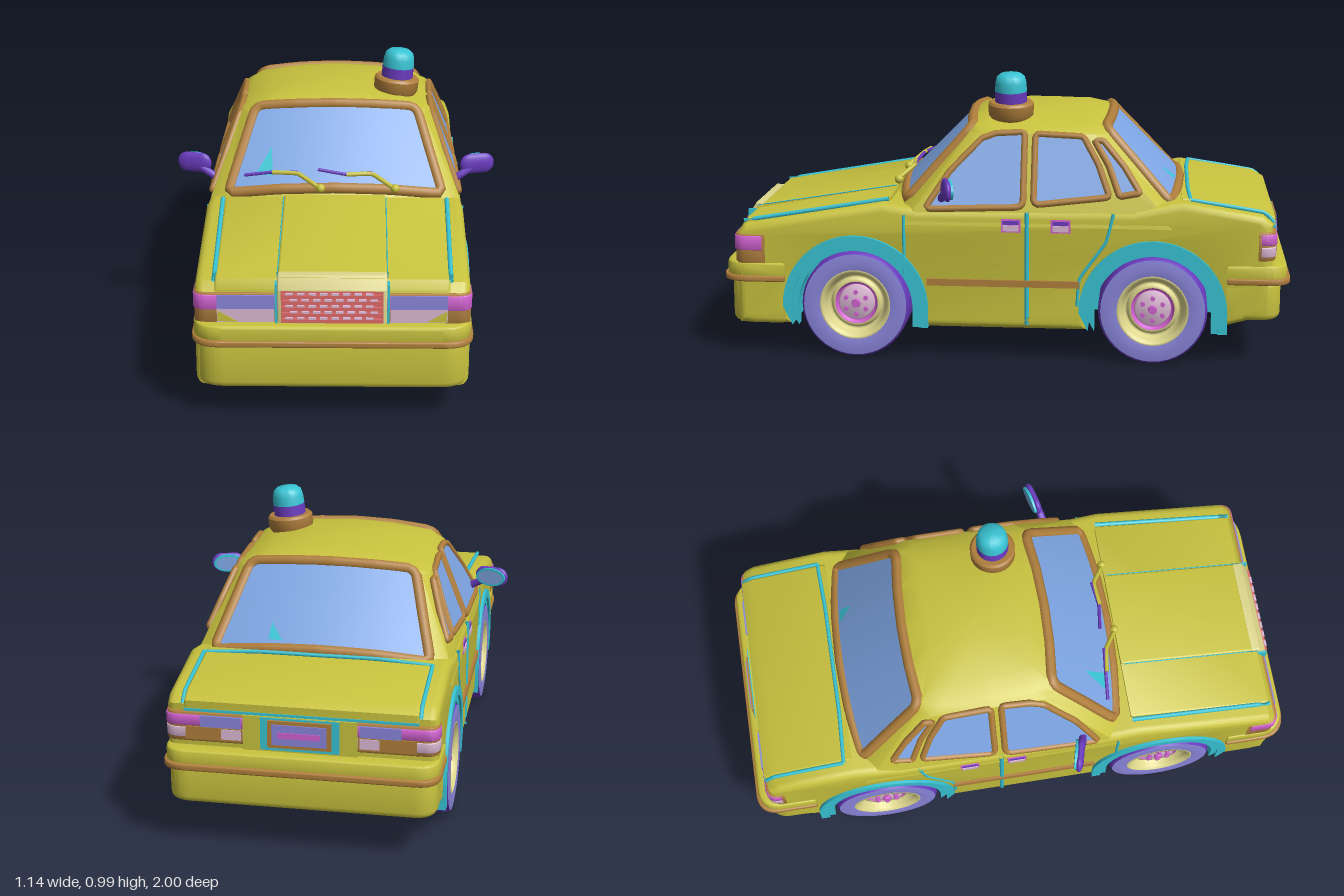
import * as THREE from 'three';
import { toCreasedNormals } from 'three/addons/utils/BufferGeometryUtils.js';

const mat = (name, color, side = THREE.FrontSide) =>
  Object.assign(new THREE.MeshStandardMaterial({ color, side }), { name });

export function createModel() {
  const car = new THREE.Group();
  car.name = 'car';
  const D = THREE.DoubleSide;
  const M = {
    body: mat('body yellow', 0xc8c23e), trim: mat('trim brown', 0xb07f3c),
    cyan: mat('cyan', 0x38c4d4, D), purple: mat('purple', 0x6b3cc0),
    lavender: mat('lavender', 0x8a86dc), glass: mat('glass blue', 0x7ea6e4, D),
    red: mat('red', 0xe06a6a), magenta: mat('magenta', 0xd060d0),
    pink: mat('pale pink', 0xdcb8d4), cream: mat('pale yellow', 0xddd68c),
  };
  const add = (name, geo, m, parent = car) => {
    const mesh = new THREE.Mesh(geo, m);
    mesh.name = name;
    parent.add(mesh);
    return mesh;
  };
  const V = (x, y, z) => new THREE.Vector3(x, y, z);
  const polygon = pts => new THREE.Shape(pts.map(p => new THREE.Vector2(...p)));
  const box = (name, m, x0, x1, y0, y1, z0, z1) => add(name,
    new THREE.BoxGeometry(x1 - x0, y1 - y0, z1 - z0).translate((x0 + x1) / 2, (y0 + y1) / 2, (z0 + z1) / 2), m);
  const bevelled = (shape, depth, b) => new THREE.ExtrudeGeometry(shape, {
    depth: depth - 2 * b, curveSegments: 24, bevelEnabled: b > 0,
    bevelSize: b, bevelThickness: b, bevelOffset: -b, bevelSegments: 4 }).translate(0, 0, b);
  // side profile given as (z, y), extruded from x0 to x1
  const sideExtrude = (name, m, shape, x0, x1, b = 0) => add(name,
    toCreasedNormals(bevelled(shape, x1 - x0, b).rotateY(-Math.PI / 2).translate(x1, 0, 0), 0.6), m);
  // plan outline with two rounded outer corners, extruded from y0 to y1
  const planExtrude = (name, m, zIn, zOut, w, y0, y1, b, r) => {
    const s = new THREE.Shape(), zr = zOut - Math.sign(zOut) * r;
    s.moveTo(-w, -zIn);
    s.lineTo(-w, -zr);
    s.quadraticCurveTo(-w, -zOut, -w + r, -zOut);
    s.lineTo(w - r, -zOut);
    s.quadraticCurveTo(w, -zOut, w, -zr);
    s.lineTo(w, -zIn);
    return add(name, toCreasedNormals(bevelled(s, y1 - y0, b).rotateX(-Math.PI / 2).translate(0, y0, 0), 0.6), m);
  };
  const line = (name, m, pts, r = 0.006, closed = false) => add(name, new THREE.TubeGeometry(
    new THREE.CatmullRomCurve3(pts, closed, 'catmullrom', 0.15), pts.length * 6, r, 8, closed), m);

  // lower body with wheel openings
  const axles = [0.52, -0.525], hub = 0.18;
  const s = new THREE.Shape();
  s.moveTo(-0.935, 0.18);
  s.lineTo(-0.755, 0.13);
  s.absarc(axles[1], hub, 0.23, Math.PI, 0, true);
  s.lineTo(-0.295, 0.11);
  s.lineTo(0.29, 0.11);
  s.absarc(axles[0], hub, 0.23, Math.PI, 0, true);
  s.lineTo(0.75, 0.11);
  for (const p of [[0.94, 0.11], [0.945, 0.43], [0.915, 0.465], [0.42, 0.553], [0.3, 0.535],
    [-0.45, 0.54], [-0.62, 0.575], [-0.9, 0.53], [-0.935, 0.5]]) s.lineTo(...p);
  sideExtrude('lowerBody', M.body, s, -0.447, 0.447, 0.03);
  add('underbody', new THREE.BoxGeometry(0.34, 0.33, 1.6).translate(0, 0.277, 0.05),
    [M.cyan, M.cyan, M.body, M.body, M.body, M.body]);

  // hood, raised hood centre and trunk lid
  sideExtrude('hood', M.body, polygon([[0.945, 0.4], [0.94, 0.445], [0.92, 0.475], [0.4, 0.565], [0.4, 0.45]]), -0.38, 0.38, 0.008);
  sideExtrude('hoodCentre', M.body, polygon([[0.95, 0.4], [0.935, 0.485], [0.4, 0.573], [0.4, 0.45]]), -0.177, 0.177, 0.008);
  sideExtrude('trunkLid', M.body, polygon([[-0.62, 0.45], [-0.62, 0.58], [-0.9, 0.54], [-0.943, 0.515], [-0.943, 0.48]]), -0.385, 0.385, 0.008);
  line('trunkFrontGap', M.cyan, [V(-0.39, 0.573, -0.65), V(-0.2, 0.582, -0.642), V(0, 0.582, -0.642), V(0.2, 0.582, -0.642), V(0.39, 0.573, -0.65)], 0.007);
  box('trunkRearGap', M.cyan, -0.385, 0.385, 0.48, 0.489, -0.946, -0.935);

  // cabin lofted from rings: y, side half width, end half width, front z, back z, droop towards the sides
  const bow = 0.45;
  const levels = [[0.48, 0.45, 0.41, 0.47, -0.7, 0], [0.54, 0.436, 0.39, 0.42, -0.66, 0], [0.79, 0.338, 0.312, 0.17, -0.405, 0],
    [0.838, 0.308, 0.285, 0.122, -0.357, 0.3], [0.852, 0.24, 0.22, 0.06, -0.285, 0.3],
    [0.86, 0.12, 0.1, -0.04, -0.18, 0.3], [0.862, 0, 0, -0.11, -0.11, 0]];
  const pos = [], idx = [], steps = [-1, -0.5, 0, 0.5, 1];
  for (const [y, xs, we, zf, zb, droop] of levels) {
    const off = 0.26 * xs, put = (x, z) => pos.push(x, y - droop * x * x, z);
    const back = x => (bow - droop) * x * x;
    for (const t of steps) put(t * we, zf - back(t * we));
    for (const z of [zf - off, (zf + zb) / 2, zb + off]) put(xs, z);
    for (const t of steps) put(-t * we, zb + back(t * we));
    for (const z of [zb + off, (zf + zb) / 2, zf - off]) put(-xs, z);
  }
  const N = 16;
  for (let l = 0; l < levels.length - 1; l++) for (let i = 0; i < N; i++) {
    const a = l * N + i, b = l * N + (i + 1) % N;
    idx.push(a, b, a + N, b, b + N, a + N);
  }
  const cabin = new THREE.BufferGeometry();
  cabin.setAttribute('position', new THREE.Float32BufferAttribute(pos, 3));
  cabin.setIndex(idx);
  add('cabin', toCreasedNormals(cabin, 0.6), M.body);

  // windscreen and rear window: bowed panes with tubular frames and small glints
  const frontMap = (x, y, o = 0.008) => V(x, y, 0.96 - y - bow * x * x + o);
  const rearMap = (x, y, o = 0.008) => V(x, y, -0.63 + (y - 0.57) * 1.02 + bow * x * x - o);
  const pane = (name, map, yb, yt, wb, wt, glintPts) => {
    const at = (u, v, o) => {
      const x = u * (wb + (wt - wb) * v);
      return map(x, yb + (yt - yb) * v - 0.22 * x * x, o);
    };
    const g = new THREE.PlaneGeometry(2, 1, 12, 6), p = g.attributes.position;
    for (let i = 0; i < p.count; i++) p.setXYZ(i, ...at(p.getX(i), p.getY(i) + 0.5).toArray());
    g.computeVertexNormals();
    add(name, g, M.glass);
    const edge = [];
    for (const u of [-0.95, -0.5, 0, 0.5, 0.95]) edge.push(at(u, 0, 0));
    for (const v of [0.06, 0.5, 0.93]) edge.push(at(1, v, 0));
    for (const u of [0.93, 0.5, 0, -0.5, -0.93]) edge.push(at(u, 1, 0));
    for (const v of [0.93, 0.5, 0.06]) edge.push(at(-1, v, 0));
    line(name + 'Frame', M.trim, edge, 0.02, true);
    const glint = new THREE.BufferGeometry().setFromPoints(glintPts.map(q => map(...q, 0.015)));
    glint.computeVertexNormals();
    add(name + 'Glint', glint, M.cyan);
  };
  pane('windscreen', frontMap, 0.588, 0.825, 0.376, 0.288, [[-0.28, 0.62], [-0.22, 0.62], [-0.225, 0.7]]);
  pane('rearWindow', rearMap, 0.588, 0.825, 0.372, 0.288, [[0.13, 0.61], [0.18, 0.61], [0.175, 0.655]]);

  // wipers: pivot x and height of the blade's far end
  for (const [x, y] of [[-0.05, 0.617], [0.21, 0.645]]) {
    add('wiperPivot', new THREE.SphereGeometry(0.016, 12, 8).translate(x, 0.595, 0.395), M.body);
    line('wiperArm', M.body, [V(x, 0.595, 0.4), frontMap(x - 0.08, 0.633, 0.03), frontMap(x - 0.17, 0.633, 0.03)], 0.008);
    line('wiperBlade', M.purple, [frontMap(x - 0.27, y, 0.025), frontMap(x - 0.17, 0.632, 0.025), frontMap(x - 0.08, 0.636, 0.025)], 0.006);
  }

  // side windows as (z, y) outlines on the sloping cabin side
  const windows = [
    ['frontSideWindow', [[0.27, 0.537], [0.19, 0.66], [0.08, 0.772], [0.03, 0.79], [-0.07, 0.795], [-0.07, 0.548]]],
    ['rearSideWindow', [[-0.108, 0.556], [-0.108, 0.79], [-0.275, 0.783], [-0.33, 0.69], [-0.37, 0.585]]],
    ['quarterWindow', [[-0.405, 0.588], [-0.365, 0.69], [-0.315, 0.77], [-0.345, 0.77], [-0.42, 0.685], [-0.475, 0.6]]]];
  const sideX = y => 0.44 - (y - 0.53) * 0.39;
  for (const k of [1, -1]) {
    for (const [name, pts] of windows) {
      const g = new THREE.ShapeGeometry(polygon(pts)), p = g.attributes.position;
      for (let i = 0; i < p.count; i++) p.setXYZ(i, k * (sideX(p.getY(i)) + 0.006), p.getY(i), p.getX(i));
      g.computeVertexNormals();
      add(name, g, M.glass);
      const edge = [];
      pts.forEach(([z, y], i) => {
        const [z2, y2] = pts[(i + 1) % pts.length];
        for (const t of [0.06, 0.5, 0.94]) {
          const yy = y + (y2 - y) * t;
          edge.push(V(k * (sideX(yy) + 0.003), yy, z + (z2 - z) * t));
        }
      });
      line(name + 'Frame', M.trim, edge, 0.012, true);
    }

    // panel gaps
    line('hoodGap', M.cyan, [V(k * 0.382, 0.472, 0.925), V(k * 0.39, 0.56, 0.405)], 0.008);
    line('trunkGap', M.cyan, [V(k * 0.39, 0.574, -0.65), V(k * 0.39, 0.535, -0.9), V(k * 0.39, 0.5, -0.938)], 0.007);
    line('hoodCrease', M.cyan, [V(k * 0.178, 0.483, 0.925), V(k * 0.178, 0.567, 0.41)], 0.002);
    line('frontDoorGap', M.cyan, [V(k * 0.446, 0.29, 0.345), V(k * 0.446, 0.515, 0.345)], 0.006);
    line('middleDoorGap', M.cyan, [V(k * 0.446, 0.13, -0.086), V(k * 0.446, 0.53, -0.086)], 0.008);
    line('rearDoorGap', M.cyan, [V(k * 0.446, 0.53, -0.385), V(k * 0.446, 0.43, -0.36), V(k * 0.446, 0.3, -0.27), V(k * 0.446, 0.2, -0.262)], 0.006);

    // side trim and door handles
    const sx = (name, m, a, b, ...r) => box(name, m, Math.min(k * a, k * b), Math.max(k * a, k * b), ...r);
    sx('sideTrim', M.trim, 0.44, 0.457, 0.266, 0.29, -0.27, 0.265);
    for (const z of [-0.03, -0.203]) {
      sx('handleRecess', M.magenta, 0.44, 0.45, 0.46, 0.507, z - 0.034, z + 0.034);
      sx('doorHandle', M.pink, 0.44, 0.456, 0.466, 0.486, z - 0.028, z + 0.028);
      sx('handleTop', M.purple, 0.44, 0.453, 0.488, 0.501, z - 0.028, z + 0.028);
    }

    // headlamps with a small corner facet, and inner tail lamps
    sx('headlampUpper', M.lavender, 0.187, 0.372, 0.384, 0.43, 0.9, 0.956);
    sx('headlampLower', M.pink, 0.187, 0.372, 0.338, 0.384, 0.9, 0.956);
    const facet = polygon([[k * 0.305, 0.341], [k * 0.37, 0.341], [k * 0.37, 0.378]]);
    add('headlampFacet', new THREE.ExtrudeGeometry(facet, { depth: 0.004, bevelEnabled: false }).translate(0, 0, 0.954), M.body);
    sx('tailLampInner', M.lavender, 0.195, 0.33, 0.43, 0.468, -0.954, -0.895);
    sx('tailLampReverse', M.pink, 0.195, 0.26, 0.39, 0.425, -0.954, -0.895);

    // mirrors
    const mirror = new THREE.Group();
    mirror.name = 'mirror';
    mirror.position.set(k * 0.507, 0.619, 0.187);
    mirror.rotation.y = k * 0.25;
    add('mirrorShell', new THREE.CapsuleGeometry(0.037, 0.052, 8, 20).rotateZ(Math.PI / 2).scale(1, 1, 0.42), M.purple, mirror);
    add('mirrorRim', new THREE.CylinderGeometry(1, 1, 0.01, 24).rotateX(Math.PI / 2).scale(0.056, 0.034, 1).translate(0, 0, -0.013), M.cyan, mirror);
    add('mirrorGlass', new THREE.CircleGeometry(1, 24).rotateY(Math.PI).scale(0.047, 0.027, 1).translate(0, 0, -0.0195), M.glass, mirror);
    car.add(mirror);
    line('mirrorArm', M.purple, [V(k * 0.42, 0.567, 0.215), V(k * 0.45, 0.585, 0.208), V(k * 0.485, 0.605, 0.195)], 0.014);
  }

  // lamp bands wrapping round the corners, split by body panels in the middle
  planExtrude('headlampFrame', M.trim, 0.84, 0.95, 0.449, 0.328, 0.436, 0.004, 0.045);
  planExtrude('indicators', M.magenta, 0.85, 0.953, 0.452, 0.378, 0.43, 0.004, 0.045);
  planExtrude('tailLampFrame', M.trim, -0.885, -0.946, 0.45, 0.375, 0.477, 0.004, 0.045);
  planExtrude('tailLampUpper', M.magenta, -0.895, -0.95, 0.453, 0.43, 0.468, 0.004, 0.045);
  planExtrude('tailLampLower', M.pink, -0.895, -0.948, 0.452, 0.388, 0.424, 0.004, 0.045);
  for (const k of [1, -1]) box('tailLampPanel', M.trim, k * 0.285 - 0.095, k * 0.285 + 0.095, 0.384, 0.428, -0.951, -0.9);
  box('rearPanel', M.body, -0.188, 0.188, 0.36, 0.48, -0.952, -0.9);

  // bumpers and their trim bands
  planExtrude('frontBumper', M.body, 0.77, 0.975, 0.447, 0.11, 0.275, 0.022, 0.1);
  planExtrude('frontBumperTop', M.body, 0.77, 0.99, 0.453, 0.275, 0.335, 0.012, 0.1);
  planExtrude('frontBumperTrim', M.trim, 0.77, 1, 0.459, 0.266, 0.287, 0.005, 0.1);
  planExtrude('rearBumper', M.body, -0.78, -0.968, 0.447, 0.16, 0.3, 0.022, 0.08);
  planExtrude('rearBumperTop', M.body, -0.78, -0.988, 0.453, 0.3, 0.357, 0.012, 0.08);
  planExtrude('rearBumperTrim', M.trim, -0.78, -1, 0.459, 0.29, 0.312, 0.005, 0.08);

  // grille
  sideExtrude('grilleSurround', M.cream, polygon([[0.9, 0.335], [0.957, 0.335], [0.957, 0.45], [0.93, 0.492], [0.9, 0.492]]), -0.177, 0.177, 0.006);
  for (const x of [-0.185, 0.177]) box('grilleEdge', M.cyan, x, x + 0.008, 0.335, 0.47, 0.9, 0.958);
  box('grilleBack', M.red, -0.165, 0.165, 0.337, 0.447, 0.93, 0.96);
  for (let i = 0; i < 5; i++) {
    const y = 0.342 + i * 0.021;
    box('grilleBar', M.red, -0.162, 0.162, y, y + 0.012, 0.955, 0.968);
    for (let j = 0; j < 8; j++) {
      const x = -0.15 + j * 0.037 + (i % 2) * 0.014;
      box('grilleLink', M.pink, x, x + 0.024, y + 0.011, y + 0.017, 0.955, 0.969);
    }
  }

  // blank rear plate
  box('plateSurround', M.cyan, -0.13, 0.13, 0.366, 0.478, -0.956, -0.93);
  box('plateFrame', M.trim, -0.105, 0.105, 0.378, 0.472, -0.964, -0.93);
  box('plate', M.lavender, -0.09, 0.09, 0.39, 0.46, -0.968, -0.93);
  box('plateStripe', M.magenta, -0.07, 0.07, 0.415, 0.435, -0.971, -0.93);

  // wheels and arches
  const wheelParts = [
    ['innerDisc', M.magenta, [[0, -0.09], [0.135, -0.09]]],
    ['innerSidewall', M.lavender, [[0.135, -0.09], [0.18, -0.09]]],
    ['tread', M.purple, [[0.18, -0.09], [0.19, -0.075], [0.19, 0.075], [0.182, 0.088]]],
    ['outerSidewall', M.lavender, [[0.182, 0.088], [0.15, 0.0925], [0.125, 0.088]]],
    ['rimEdge', M.cream, [[0.125, 0.088], [0.117, 0.09], [0.108, 0.075]]],
    ['rimWell', M.cream, [[0.108, 0.075], [0.1, 0.045], [0.092, 0.045]]],
    ['rimFace', M.cream, [[0.092, 0.045], [0.086, 0.06], [0.076, 0.06]]],
    ['hubRing', M.magenta, [[0.076, 0.06], [0.07, 0.045], [0.064, 0.045]]],
    ['hub', M.pink, [[0.064, 0.045], [0.058, 0.064], [0, 0.067]]]];
  for (const z of axles) for (const k of [1, -1]) {
    const wheel = new THREE.Group();
    wheel.name = 'wheel';
    for (const [name, m, pts] of wheelParts)
      add(name, new THREE.LatheGeometry(pts.map(p => new THREE.Vector2(...p)), 40), m, wheel);
    add('hubCap', new THREE.CylinderGeometry(0.014, 0.016, 0.012, 12).translate(0, 0.072, 0), M.magenta, wheel);
    for (let i = 0; i < 6; i++) {
      const a = i * Math.PI / 3;
      add('wheelNut', new THREE.CylinderGeometry(0.008, 0.008, 0.012, 8).translate(0.04 * Math.cos(a), 0.07, 0.04 * Math.sin(a)), M.magenta, wheel);
    }
    wheel.rotation.z = -k * Math.PI / 2;
    wheel.position.set(k * 0.3675, 0.19, z);
    car.add(wheel);
    const arch = (name, R, r, x0, x1) => {
      const a = new THREE.Shape();
      a.moveTo(z + R, 0.112);
      a.absarc(z, hub, R, 0, Math.PI, false);
      a.lineTo(z - R, 0.112);
      a.lineTo(z - r, 0.112);
      a.absarc(z, hub, r, Math.PI, 0, true);
      a.lineTo(z + r, 0.112);
      sideExtrude(name, M.cyan, a, k > 0 ? x0 : -x1, k > 0 ? x1 : -x0);
    };
    arch('wheelWell', 0.235, 0.225, 0.17, 0.43);
    arch('archInner', 0.24, 0.203, 0.41, 0.45);
    arch('archFlare', 0.258, 0.225, 0.41, 0.458);
  }

  // roof beacon, leaning with the roof
  const beacon = new THREE.Group();
  beacon.name = 'beacon';
  beacon.position.set(0.217, 0.845, -0.012);
  beacon.rotation.z = -0.1;
  const turned = (name, m, pts) => add(name, toCreasedNormals(
    new THREE.LatheGeometry(pts.map(p => new THREE.Vector2(...p)), 32), 0.7), m, beacon);
  turned('beaconBase', M.trim, [[0.07, -0.02], [0.08, -0.004], [0.081, 0.034], [0.074, 0.042], [0, 0.042]]);
  turned('beaconCollar', M.purple, [[0.057, 0.04], [0.057, 0.08]]);
  turned('beaconDome', M.cyan, [[0.057, 0.08], [0.055, 0.11], [0.05, 0.13], [0.037, 0.141], [0, 0.145]]);
  car.add(beacon);
  return car;
}
